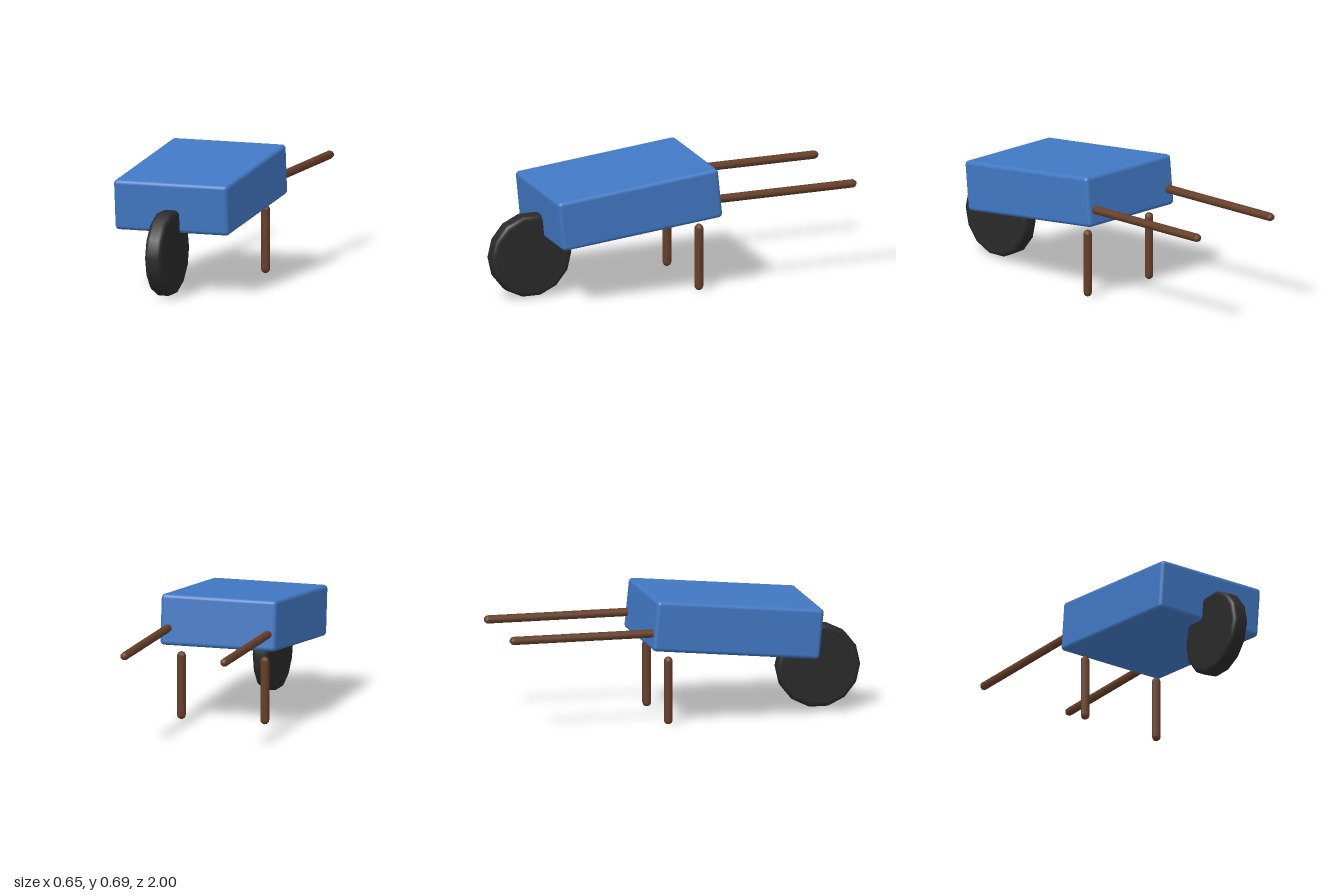
import * as THREE from 'three';
import { RoundedBoxGeometry } from 'three/addons/geometries/RoundedBoxGeometry.js';

const paint = (name, color) => {
  const m = new THREE.MeshStandardMaterial({ color });
  m.name = name;
  return m;
};

export function createModel() {
  const group = new THREE.Group();
  const blue = paint('blue tray', 0x4178c4);
  const brown = paint('brown wood', 0x673f2a);
  const black = paint('black rubber', 0x2a2a2a);

  const add = (name, geometry, material, x, y, z) => {
    const mesh = new THREE.Mesh(geometry, material);
    mesh.name = name;
    mesh.position.set(x, y, z);
    group.add(mesh);
    return mesh;
  };

  // Closed tray, tipped down towards the wheel
  const tray = add('tray', new RoundedBoxGeometry(0.65, 0.275, 0.925, 3, 0.022), blue, 0, 0.514, 0.255);
  tray.rotation.x = 0.1;

  // Solid wheel: a 14-sided disc with rounded shoulders
  const radius = 0.23, half = 0.047, bevel = 0.023;
  const profile = [new THREE.Vector2(0, -half), new THREE.Vector2(radius - bevel - 0.002, -half)];
  for (const side of [-1, 1]) {
    for (let i = 0; i <= 4; i++) {
      const a = ((side < 0 ? i : 4 - i) / 4) * Math.PI / 2;
      profile.push(new THREE.Vector2(
        radius - bevel + bevel * Math.sin(a),
        side * (half - bevel + bevel * Math.cos(a))));
    }
  }
  profile.push(new THREE.Vector2(radius - bevel - 0.002, half), new THREE.Vector2(0, half));
  const wheel = add('wheel', new THREE.LatheGeometry(profile, 14), black, 0, 0.235, 0.77);
  wheel.rotation.z = Math.PI / 2;

  // Eight-sided round-ended pole, standing along y
  const pole = (length, r) =>
    new THREE.CapsuleGeometry(r, length - 2 * r, 4, 8).rotateY(Math.PI / 8);

  // Legs and handles, mirrored
  for (const [side, s] of [['left', 1], ['right', -1]]) {
    add(side + 'Leg', pole(0.37, 0.0238), brown, s * 0.234, 0.188, -0.113);
    const handle = add(side + 'Handle', pole(0.83, 0.0225), brown, s * 0.28, 0.515, -0.585);
    handle.rotation.x = Math.PI / 2;
  }
  return group;
}
